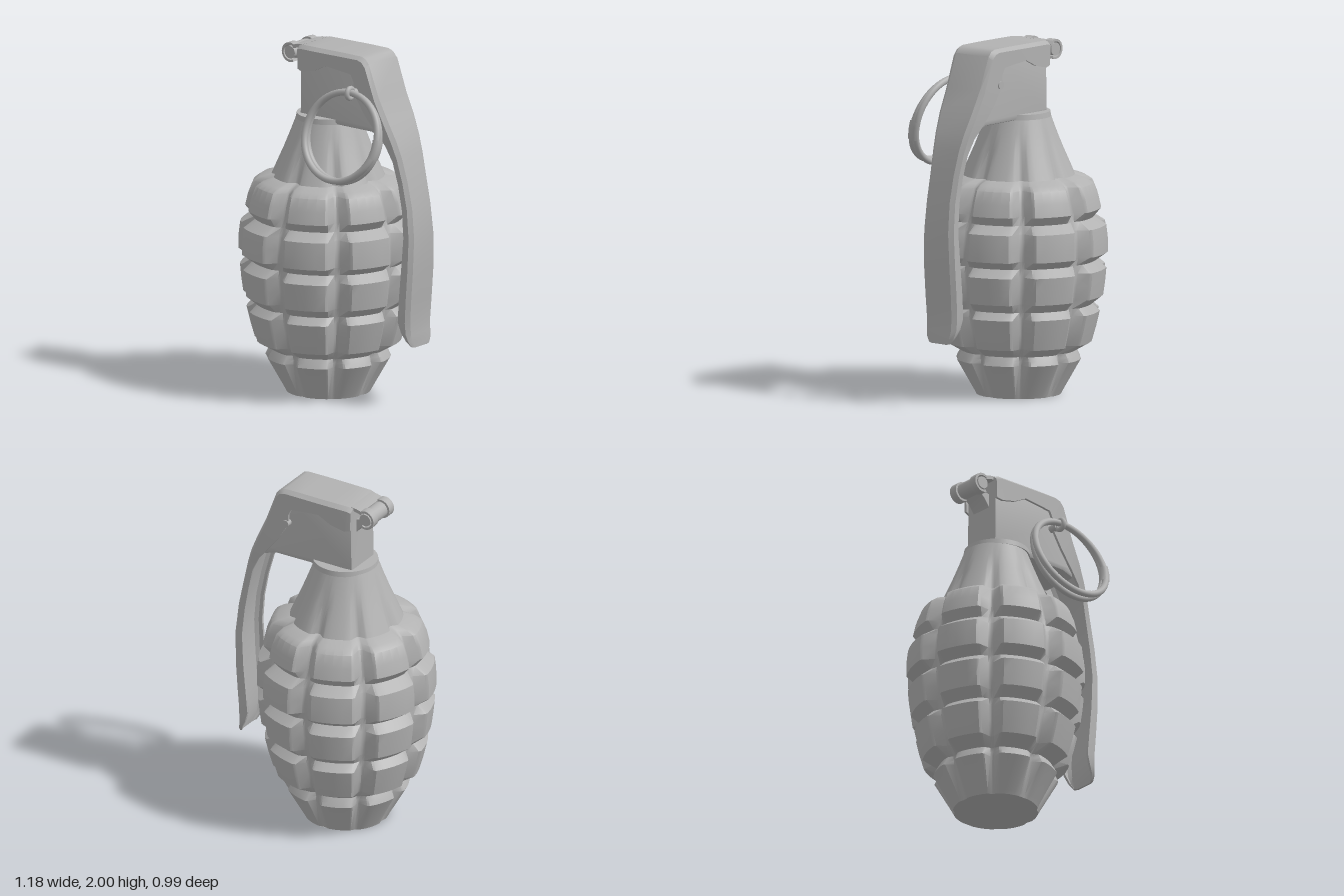
import * as THREE from 'three';
import { toCreasedNormals } from 'three/addons/utils/BufferGeometryUtils.js';

// Skin closed loops of points into a solid with strip caps
function loft(sections, crease = 0.6) {
  const n = sections[0].length, pos = sections.flat(2), idx = [];
  for (let i = 0; i < sections.length - 1; i++) {
    for (let j = 0; j < n; j++) {
      const k = (j + 1) % n, a = i * n + j, b = i * n + k;
      idx.push(a, b, b + n, a, b + n, a + n);
    }
  }
  const end = (sections.length - 1) * n;
  for (let k = 0; k < n / 2 - 1; k++) {
    const a = k, b = k + 1, c = n - 2 - k, d = n - 1 - k;
    idx.push(a, c, b, a, d, c);
    idx.push(end + a, end + b, end + c, end + a, end + c, end + d);
  }
  const g = new THREE.BufferGeometry();
  g.setAttribute('position', new THREE.Float32BufferAttribute(pos, 3));
  g.setIndex(idx);
  return toCreasedNormals(g, crease);
}

// Segmented shell: each row is height, block radius, vertical groove radius
function bodyGeometry() {
  const rows = [
    [0, 0.24, 0.232], [0.02, 0.25, 0.238], [0.2, 0.352, 0.298], [0.225, 0.34, 0.3], [0.25, 0.325, 0.305],
    [0.3, 0.412, 0.35], [0.39, 0.438, 0.372], [0.475, 0.458, 0.39], [0.515, 0.415, 0.392],
    [0.565, 0.477, 0.41], [0.645, 0.488, 0.422], [0.72, 0.495, 0.43], [0.765, 0.44, 0.425],
    [0.81, 0.503, 0.435], [0.89, 0.503, 0.435], [0.965, 0.494, 0.425], [1.01, 0.425, 0.405],
    [1.06, 0.466, 0.398], [1.13, 0.45, 0.38], [1.2, 0.422, 0.355], [1.225, 0.385, 0.325],
    [1.245, 0.318, 0.285], [1.4, 0.25, 0.236], [1.5, 0.21, 0.208], [1.58, 0.18, 0.18],
  ];
  // Angle from the groove in degrees, and how deep in the groove that column lies
  const columns = [[0, 1], [2, 0.93], [7, 0.15], [9, 0], [15.5, 0], [22.5, 0], [29.5, 0], [36, 0], [38, 0.15], [43, 0.93]];
  return loft(rows.map(([y, block, groove]) => {
    const loop = [];
    for (let s = 0; s < 8; s++) {
      for (const [deg, w] of columns) {
        const a = THREE.MathUtils.degToRad(s * 45 + deg);
        const r = block + (groove - block) * w;
        loop.push([r * Math.sin(a), y, r * Math.cos(a)]);
      }
    }
    return loop;
  }));
}

// Channel lever: each station is outer x, y, flange edge x, y, half width
function leverGeometry() {
  const stations = [
    [-0.21, 1.992, -0.205, 1.86, 0.138], [-0.18, 2, -0.17, 1.85, 0.145], [-0.08, 2, -0.08, 1.87, 0.147],
    [0, 2, 0, 1.91, 0.148], [0.12, 2, 0.1, 1.9, 0.148], [0.235, 1.998, 0.18, 1.89, 0.148],
    [0.265, 1.988, 0.2, 1.85, 0.148], [0.29, 1.96, 0.2, 1.79, 0.148], [0.36, 1.775, 0.27, 1.68, 0.146],
    [0.42, 1.65, 0.35, 1.58, 0.14], [0.47, 1.54, 0.41, 1.51, 0.128], [0.5, 1.45, 0.455, 1.42, 0.117],
    [0.535, 1.31, 0.487, 1.29, 0.108], [0.567, 1.16, 0.513, 1.15, 0.107], [0.585, 0.99, 0.528, 0.99, 0.112],
    [0.581, 0.8, 0.516, 0.8, 0.118], [0.568, 0.62, 0.5, 0.63, 0.118], [0.56, 0.5, 0.49, 0.5, 0.115],
    [0.562, 0.43, 0.51, 0.44, 0.111], [0.566, 0.385, 0.535, 0.395, 0.1], [0.568, 0.355, 0.55, 0.363, 0.078],
  ];
  return loft(stations.map(([ox, oy, ix, iy, w]) => {
    const len = Math.hypot(ix - ox, iy - oy);
    const b = Math.min(0.02, len * 0.35), t = Math.min(0.015, len * 0.4);
    const at = (s, z) => [ox + (ix - ox) * s / len, oy + (iy - oy) * s / len, z];
    return [
      at(len, -w), at(b, -w), at(0, -w + 0.025), at(0, w - 0.025), at(b, w), at(len, w),
      at(len, w - t), at(b + t, w - t), at(t, w - 0.03), at(t, -w + 0.03), at(b + t, -w + t), at(len, -w + t),
    ];
  }));
}

// Side outline extruded evenly about z = 0
function slab(points, depth, bevel) {
  const shape = new THREE.Shape(points.map(p => new THREE.Vector2(...p)));
  const g = new THREE.ExtrudeGeometry(shape, {
    depth: depth - 2 * bevel, bevelEnabled: bevel > 0, bevelSize: bevel, bevelThickness: bevel,
    bevelOffset: -bevel, bevelSegments: 2,
  });
  g.translate(0, 0, bevel - depth / 2);
  return toCreasedNormals(g, 0.6);
}

export function createModel() {
  const steel = new THREE.MeshStandardMaterial({ color: 0xb2b2b2 });
  steel.name = 'grey steel';
  const model = new THREE.Group();
  model.name = 'segmentedCasing';
  const add = (name, geometry, x = 0, y = 0, z = 0, parent = model) => {
    const m = new THREE.Mesh(geometry, steel);
    m.name = name;
    m.position.set(x, y, z);
    parent.add(m);
    return m;
  };

  add('body', bodyGeometry(), -0.095);
  add('collar', new THREE.CylinderGeometry(0.183, 0.187, 0.03, 48), -0.088, 1.588);
  add('lever', leverGeometry());

  // Housing under the lever
  add('housing', slab([[-0.205, 1.6], [-0.1, 1.575], [0.3, 1.57], [0.375, 1.545], [0.375, 1.6],
    [0.27, 1.83], [0.22, 1.975], [-0.2, 1.975]], 0.24, 0.015));

  // Hinge at the back edge of the lever: a pin held by curled tabs
  add('hingePin', new THREE.CylinderGeometry(0.036, 0.036, 0.215, 20), -0.285, 1.937).rotation.x = Math.PI / 2;
  const curl = [];
  for (let i = 0; i <= 14; i++) {
    const a = 1.0 + i * 0.3;
    curl.push([-0.285 + 0.057 * Math.cos(a), 1.937 + 0.057 * Math.sin(a)]);
  }
  for (let i = 14; i >= 0; i--) {
    const a = 1.0 + i * 0.3;
    curl.push([-0.285 + 0.044 * Math.cos(a), 1.937 + 0.044 * Math.sin(a)]);
  }
  for (const z of [-0.083, 0.083]) add('hingeCurl', slab(curl, 0.05, 0), 0, 0, z);
  add('hingeKnuckle', new THREE.CylinderGeometry(0.048, 0.048, 0.105, 20), -0.285, 1.937).rotation.x = Math.PI / 2;
  add('hingeTab', slab([[-0.26, 1.965], [-0.2, 1.98], [-0.19, 1.998], [-0.225, 1.995], [-0.265, 1.985]], 0.22, 0));
  add('hingeBracket', slab([[-0.27, 1.9], [-0.235, 1.87], [-0.2, 1.82], [-0.19, 1.9], [-0.235, 1.91]], 0.13, 0));

  // Cross pin with its eye
  add('crossPin', new THREE.CylinderGeometry(0.022, 0.022, 0.33, 16), 0.215, 1.795, 0.01).rotation.x = Math.PI / 2;
  const eye = add('pinEye', new THREE.TorusGeometry(0.028, 0.015, 10, 24), 0.215, 1.797, 0.197);
  eye.rotation.y = Math.PI / 2;

  // Split ring: two coils meeting at the eye, with a sleeve at the side
  const ring = new THREE.Group();
  ring.name = 'pullRing';
  ring.position.set(0.215, 1.805, 0.2);
  model.add(ring);
  for (const tilt of [-0.235, -0.325]) {
    const coil = new THREE.Group();
    coil.name = 'coil';
    coil.rotation.x = tilt;
    ring.add(coil);
    add('ringCoil', new THREE.TorusGeometry(0.252, 0.019, 12, 64), 0, -0.255, 0, coil);
  }
  const sleeve = add('ringSleeve', new THREE.TorusGeometry(0.254, 0.027, 10, 12, 0.42), 0, -0.245, 0.072, ring);
  sleeve.rotation.set(-0.28, 0, -0.35);
  sleeve.scale.z = 1.25;
  return model;
}
